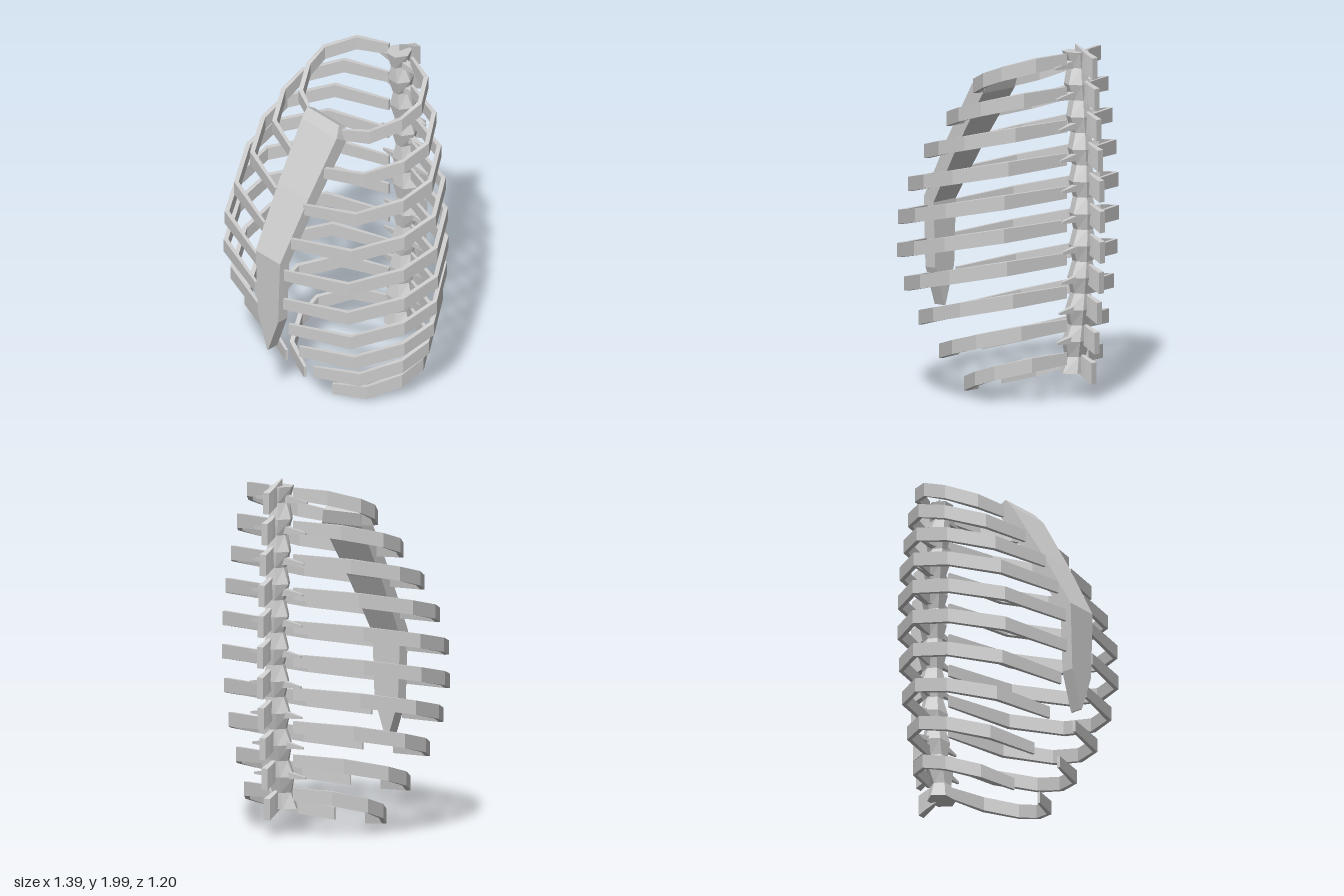
import * as THREE from 'three';

const bone = new THREE.MeshStandardMaterial({ color: 0xcccccc, flatShading: true });
bone.name = 'bone grey';

// Closed skin through equal-sized cross-sections, each counter-clockwise about the travel direction
function loft(name, sections) {
  const pos = [];
  const tri = (a, b, c) => pos.push(...a, ...b, ...c);
  const n = sections[0].length;
  for (let i = 0; i < sections.length - 1; i++) {
    const s = sections[i], t = sections[i + 1];
    for (let j = 0; j < n; j++) {
      const k = (j + 1) % n;
      tri(s[j], s[k], t[k]);
      tri(s[j], t[k], t[j]);
    }
  }
  const first = sections[0], last = sections[sections.length - 1];
  for (let j = 1; j < n - 1; j++) {
    tri(first[0], first[j + 1], first[j]);
    tri(last[0], last[j], last[j + 1]);
  }
  const geo = new THREE.BufferGeometry();
  geo.setAttribute('position', new THREE.Float32BufferAttribute(pos, 3));
  geo.computeVertexNormals();
  const mesh = new THREE.Mesh(geo, bone);
  mesh.name = name;
  return mesh;
}

// Mirror sections to the -x side, keeping the winding
const mirror = (sections) => sections.map((s) => s.map(([x, y, z]) => [-x, y, z]).reverse());

// Spine curve: z of the column centre at height y
const spineCurve = new THREE.SplineCurve([
  [0.16, -0.39], [0.45, -0.43], [0.9, -0.455], [1.3, -0.45], [1.65, -0.43], [1.96, -0.4],
].map(([y, z]) => new THREE.Vector2(y, z)));
const spineZ = (y) => spineCurve.getPoint(THREE.MathUtils.clamp((y - 0.16) / 1.8, 0, 1)).y;

// Left rib as a strip along a six-point bow, dropping toward the front
function ribSections(yBack, zFront, width, drop) {
  const zBack = -0.41;
  const path = [
    [0.09, 0], [0.72 * width, 0.12], [width, 0.38],
    [0.97 * width, 0.61], [0.72 * width, 0.87], [0.11, 1],
  ].map(([x, t]) => [x, yBack - drop * Math.pow(t, 1.2), zBack + (zFront - zBack) * t]);
  return path.map(([x, y, z], i) => {
    const a = path[Math.max(i - 1, 0)], b = path[Math.min(i + 1, path.length - 1)];
    const dx = b[0] - a[0], dz = b[2] - a[2], len = Math.hypot(dx, dz);
    const th = i === 0 || i === 5 ? 0.008 : 0.013, h = i === 0 || i === 5 ? 0.034 : 0.04;
    const nx = (dz / len) * th, nz = (-dx / len) * th;
    return [
      [x + nx, y - h, z + nz], [x + nx, y + h, z + nz],
      [x - nx, y + h, z - nz], [x - nx, y - h, z - nz],
    ];
  });
}

export function createModel() {
  const model = new THREE.Group();
  model.name = 'ribCage';

  // Ten pairs of ribs: front reach and half width of each
  const ribs = new THREE.Group();
  ribs.name = 'ribs';
  const reach = [0.16, 0.3, 0.43, 0.52, 0.575, 0.58, 0.54, 0.46, 0.35, 0.21];
  const widths = [0.385, 0.5, 0.58, 0.645, 0.68, 0.685, 0.66, 0.605, 0.52, 0.42];
  reach.forEach((zFront, i) => {
    const s = ribSections(1.925 - 0.1865 * i, zFront, widths[i], i === 9 ? 0.2 : 0.21);
    ribs.add(loft('leftRib', s), loft('rightRib', mirror(s)));
  });
  model.add(ribs);

  // Breastbone: plate bent at mid height and pointed at the bottom
  // [front y, front z, back y, back z, right half width, left half width]
  const plate = [
    [1.785, 0.17, 1.755, 0.12, 0.135, 0.12],
    [1.73, 0.215, 1.68, 0.14, 0.132, 0.148],
    [1.4, 0.41, 1.36, 0.34, 0.115, 0.125],
    [1.045, 0.6, 1.02, 0.53, 0.095, 0.1],
    [0.65, 0.6, 0.65, 0.53, 0.08, 0.085],
    [0.43, 0.6, 0.43, 0.53, 0.004, 0.004],
  ];
  model.add(loft('breastbone', plate.map(([yf, zf, yb, zb, r, l]) => [
    [l, yb, zb], [l, yf, zf], [-r, yf, zf], [-r, yb, zb],
  ])));

  // Spinal column: six-sided, flaring at each joint
  const column = [];
  const steps = 20;
  for (let i = 0; i <= steps; i++) {
    const y = 0.16 + (1.8 * i) / steps;
    const wide = i % 2 === 0;
    const rx = (wide ? 0.095 : 0.06) - 0.025 * (i / steps);
    const rz = wide ? 0.065 : 0.052;
    column.push(Array.from({ length: 6 }, (_, j) => {
      const a = ((j + 0.5) * Math.PI) / 3;
      return [Math.sin(a) * rx, y, spineZ(y) + Math.cos(a) * rz * 1.15];
    }));
  }
  model.add(loft('spine', column));

  // Backward and sideways spurs of each vertebra
  const spurs = new THREE.Group();
  spurs.name = 'vertebraSpurs';
  for (let i = 0; i < 11; i++) {
    const y = 1.93 - 0.171 * i;
    const z = spineZ(y);
    const blade = (hw, lo, hi, zz) => [[-hw, lo, zz], [-hw, hi, zz], [hw, hi, zz], [hw, lo, zz]];
    spurs.add(loft('backSpur', [
      blade(0.004, y - 0.05, y + 0.07, z),
      blade(0.018, y - 0.09, y + 0.025, z - 0.09),
      blade(0.022, y - 0.115, y + 0.005, z - 0.14),
    ]));
    if (i === 10) continue;
    const end = (x, yy, h, d) => [
      [x, yy - h, z - d], [x, yy + h, z - d], [x, yy + h, z + d], [x, yy - h, z + d],
    ];
    const side = [end(0.04, y - 0.04, 0.022, 0.02), end(0.18, y - 0.05, 0.006, 0.005)];
    spurs.add(loft('leftSpur', side), loft('rightSpur', mirror(side)));
  }
  model.add(spurs);
  return model;
}
